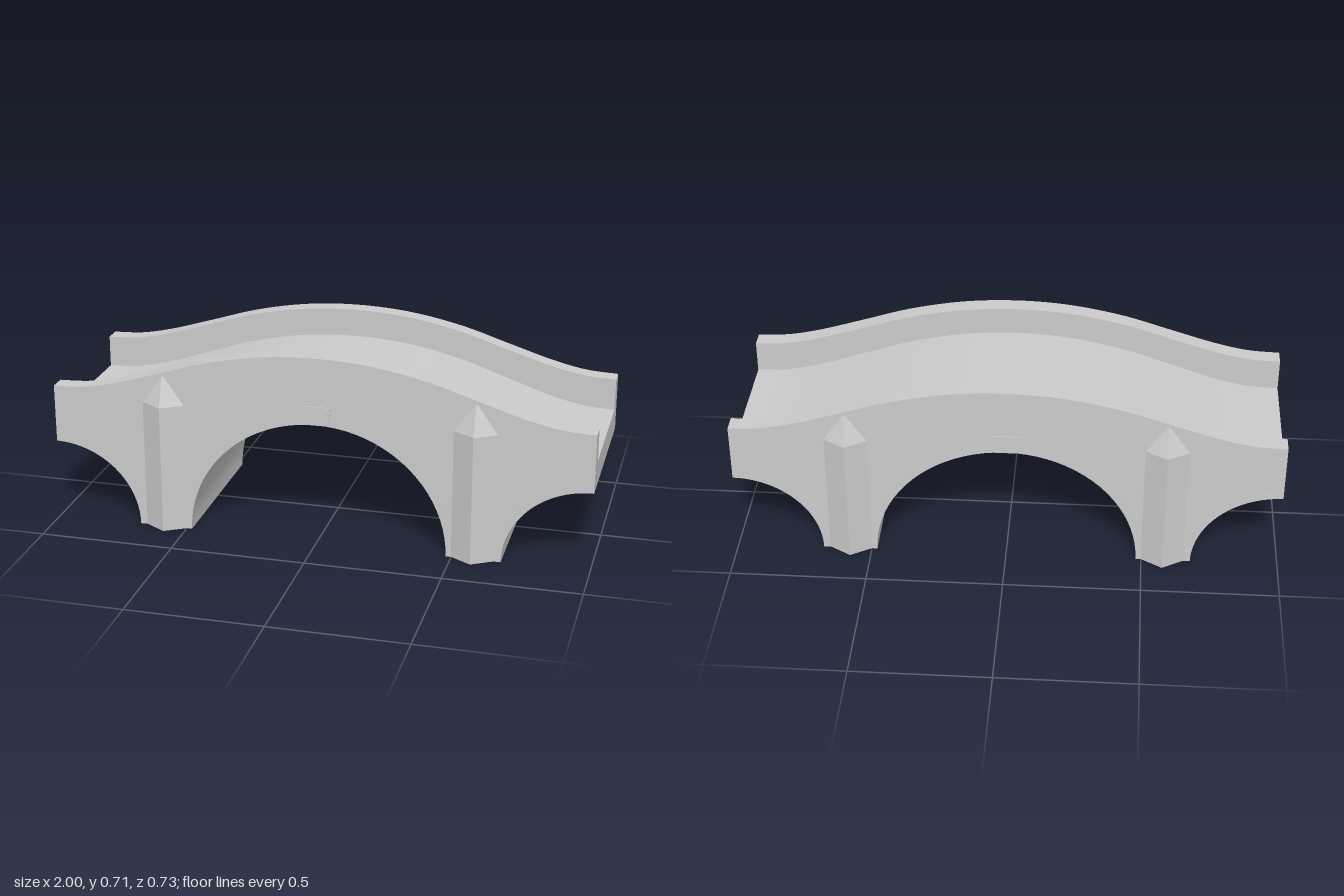
import * as THREE from 'three';
import { toCreasedNormals } from 'three/addons/utils/BufferGeometryUtils.js';

const HALF_WIDTH = 0.319, INNER = 0.255, PIER_X = 0.577;
const material = new THREE.MeshStandardMaterial({ color: 0xcccccc });
const V = (x, y) => new THREE.Vector2(x, y);

// Symmetric hump running from x = -1 to x = 1, given its right half
function hump(half) {
  const left = half.slice(1).reverse().map(([x, y]) => V(-x, y));
  return new THREE.SplineCurve([...left, ...half.map(([x, y]) => V(x, y))]).getPoints(64);
}

// Elliptical arc, angles in units of PI
function arc(cx, rx, ry, from, to, steps) {
  return Array.from({ length: steps + 1 }, (_, i) => {
    const a = Math.PI * (from + (to - from) * i / steps);
    return V(cx + rx * Math.cos(a), Math.max(0, ry * Math.sin(a)));
  });
}

const parapetLine = hump([[0, 0.712], [0.2, 0.7], [0.4, 0.662], [0.58, 0.607], [0.75, 0.555], [0.88, 0.527], [1, 0.52]]);
const deckLine = hump([[0, 0.608], [0.2, 0.595], [0.4, 0.554], [0.58, 0.495], [0.75, 0.438], [0.88, 0.408], [1, 0.4]]);
const leftArch = g => arc(-1, 0.32 + g, 0.302 + g, 0.5, 0, 20);
const mainArch = g => arc(0, 0.48 + g, 0.46 + g, 1, 0, 40);
const rightArch = g => arc(1, 0.32 + g, 0.302 + g, 1, 0.5, 20);

function slab(name, points, z0, z1) {
  const geometry = new THREE.ExtrudeGeometry(new THREE.Shape(points), { depth: z1 - z0, bevelEnabled: false });
  geometry.translate(0, 0, z0);
  const mesh = new THREE.Mesh(toCreasedNormals(geometry, 0.5), material);
  mesh.name = name;
  return mesh;
}

// Bridge outline: three arches below, a humped line above
const outline = top => [...leftArch(0), ...mainArch(0), ...rightArch(0), ...[...top].reverse()];

// Pointed pier buttress: triangular prism whose cap slopes back to the wall
function buttress(x, side) {
  const w = 0.08, z = 0.3, zf = 0.318, tip = 0.366, h = 0.487;
  const p = [
    [-w, 0, z], [-w, 0, zf], [0, 0, tip], [w, 0, zf], [w, 0, z],
    [-w, h, z], [-w, h, zf], [0, h, tip], [w, h, zf], [w, h, z],
    [0, 0.602, zf], [0, 0.602, z],
  ];
  const faces = [
    [0, 1, 6, 5], [1, 2, 7, 6], [2, 3, 8, 7], [3, 4, 9, 8],
    [6, 7, 10], [7, 8, 10], [5, 6, 10, 11], [8, 9, 11, 10],
    [4, 3, 2, 1, 0],
  ];
  const verts = [];
  for (const f of faces)
    for (let i = 1; i < f.length - 1; i++)
      for (const k of [f[0], f[i], f[i + 1]]) verts.push(...p[k]);
  const geometry = new THREE.BufferGeometry();
  geometry.setAttribute('position', new THREE.Float32BufferAttribute(verts, 3));
  geometry.computeVertexNormals();
  if (side < 0) geometry.rotateY(Math.PI);
  geometry.translate(x, 0, 0);
  const mesh = new THREE.Mesh(geometry, material);
  mesh.name = 'pierButtress';
  return mesh;
}

export function createModel() {
  const bridge = new THREE.Group();
  bridge.name = 'archBridge';

  // Roadway between the parapet walls
  bridge.add(slab('roadway', outline(deckLine), -INNER, INNER));

  for (const side of [1, -1]) {
    const sideSlab = (name, points, a, b) =>
      bridge.add(slab(name, points, side > 0 ? a : -b, side > 0 ? b : -a));

    // Side wall rising into the parapet
    sideSlab('parapetWall', outline(parapetLine), INNER, HALF_WIDTH);

    // Shallow coping along the parapet top
    const lower = parapetLine.map(p => V(p.x, p.y - 0.015));
    sideSlab('coping', [...lower, ...[...parapetLine].reverse()], HALF_WIDTH - 0.01, HALF_WIDTH + 0.001);

    // Shallow rings around the arches
    for (const arch of [leftArch, mainArch, rightArch])
      sideSlab('archRing', [...arch(0), ...arch(0.018).reverse()], HALF_WIDTH - 0.01, HALF_WIDTH + 0.001);

    // Keystone over the main arch
    sideSlab('keystone', [V(-0.042, 0.46), V(0.042, 0.46), V(0.055, 0.53), V(-0.055, 0.53)],
      HALF_WIDTH - 0.01, HALF_WIDTH + 0.004);

    for (const x of [-PIER_X, PIER_X]) bridge.add(buttress(x, side));
  }
  return bridge;
}
